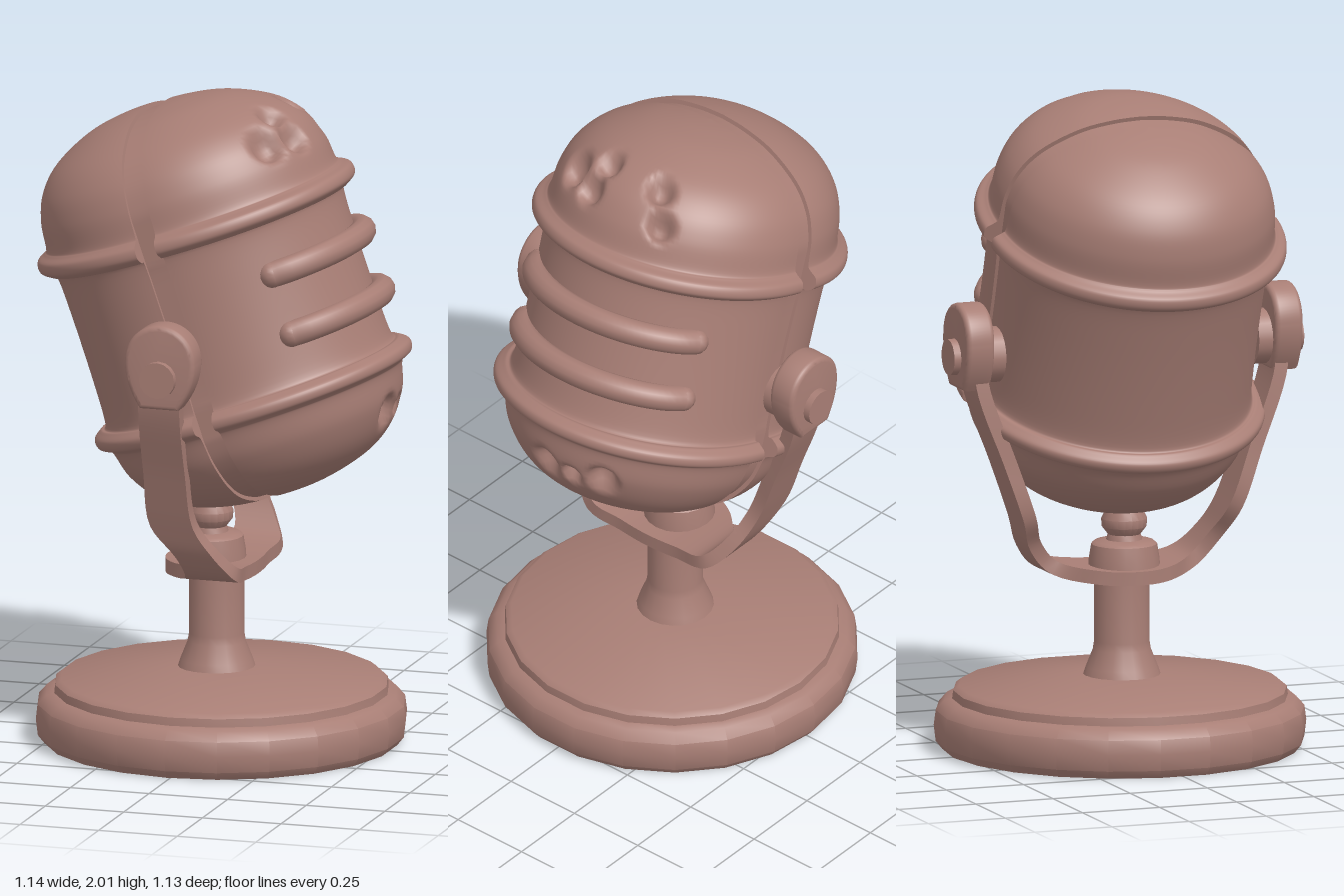
import * as THREE from 'three';
import { toCreasedNormals } from 'three/addons/utils/BufferGeometryUtils.js';

const clay = new THREE.MeshStandardMaterial({ color: 0xa87e75 });
clay.name = 'dusty clay';

const v2 = (pts) => pts.map(([x, y]) => new THREE.Vector2(x, y));

function part(parent, name, geometry, x = 0, y = 0, z = 0) {
  const mesh = new THREE.Mesh(geometry, clay);
  mesh.name = name;
  mesh.position.set(x, y, z);
  parent.add(mesh);
  return mesh;
}

const turned = (pts, sides) => toCreasedNormals(new THREE.LatheGeometry(v2(pts), sides), 0.6);

// Head profile, bottom to top, with the two raised rings
const HEAD = [
  [0, -0.6], [0.14, -0.587], [0.28, -0.548], [0.37, -0.492], [0.435, -0.41], [0.462, -0.33],
  [0.476, -0.312], [0.505, -0.298], [0.508, -0.27], [0.48, -0.25], [0.458, -0.235],
  [0.452, -0.1], [0.452, 0.1], [0.458, 0.235],
  [0.48, 0.248], [0.508, 0.268], [0.505, 0.298], [0.476, 0.314], [0.464, 0.33],
  [0.453, 0.41], [0.418, 0.49], [0.345, 0.56], [0.22, 0.618], [0.1, 0.643], [0, 0.65],
];
const DEPTH = 0.91; // head is a little narrower along z

// Pits pressed into the domes: x, y, z, radius
const PITS = [
  [0.36, 0.52, -0.11, 0.04], [0.36, 0.52, 0.085, 0.04],
  [0.415, 0.44, -0.17, 0.04], [0.41, 0.45, 0.1, 0.045], [0.365, 0.465, 0.2, 0.05],
  [0.4, -0.43, 0.04, 0.045], [0.41, -0.44, -0.055, 0.028], [0.4, -0.43, -0.16, 0.045],
];

function headHalf(profile, side, seam) {
  const g = new THREE.LatheGeometry(profile, 96, side > 0 ? 0 : Math.PI, Math.PI);
  const p = g.attributes.position;
  const v = new THREE.Vector3();
  const pit = new THREE.Vector3();
  for (let i = 0; i < p.count; i++) {
    v.fromBufferAttribute(p, i);
    v.x = v.x * (0.455 - Math.abs(seam)) / 0.455 + seam;
    v.z *= DEPTH;
    let push = 0;
    for (const [x, y, z, r] of PITS) {
      const d = v.distanceTo(pit.set(x, y, z)) / r;
      push = Math.max(push, 0.05 * Math.exp(-(d ** 4)));
    }
    v.multiplyScalar(1 - push / v.length());
    p.setXYZ(i, v.x, v.y, v.z);
  }
  g.computeVertexNormals();
  return g;
}

const outline = (pts) => new THREE.Shape([
  ...pts, ...pts.slice(1, -1).reverse().map((q) => new THREE.Vector2(-q.x, q.y)),
]);

function makeHead() {
  const head = new THREE.Group();
  head.name = 'head';
  head.position.y = 1.35;
  head.rotation.z = 0.33;
  const profile = new THREE.SplineCurve(v2(HEAD)).getPoints(144);
  profile[0].x = profile[144].x = 0;

  // Two shells with flat walls facing the seam
  for (const [name, side, seam] of [['frontShell', 1, 0.02], ['rearShell', -1, -0.045]]) {
    part(head, name, headHalf(profile, side, seam));
    const wall = new THREE.ShapeGeometry(outline(profile));
    wall.rotateY(-side * Math.PI / 2).scale(1, 1, DEPTH);
    part(head, name + 'Wall', wall, seam);
  }

  // Recessed band filling the seam
  const core = profile.map((q) => new THREE.Vector2(Math.min(q.x, 0.458) * 0.975, q.y * 0.98));
  const band = new THREE.ExtrudeGeometry(outline(core), { depth: 0.075, bevelEnabled: false });
  band.rotateY(Math.PI / 2).scale(1, 1, DEPTH);
  part(head, 'seamBand', toCreasedNormals(band, 0.6), -0.05);

  // Grille ribs with rounded ends
  for (const y of [0.092, -0.098]) {
    const pts = [];
    for (let i = -8; i <= 8; i++) {
      const a = (i / 8) * 0.86;
      const ease = 1 - 0.05 * Math.abs(i / 8) ** 6;
      pts.push(new THREE.Vector3(0.475 * Math.cos(a) * ease, y, 0.43 * Math.sin(a) * ease));
    }
    part(head, 'rib', new THREE.TubeGeometry(new THREE.CatmullRomCurve3(pts), 40, 0.04, 12));
    for (const end of [pts[0], pts[16]]) {
      part(head, 'ribEnd', new THREE.SphereGeometry(0.04, 12, 8), end.x, y, end.z);
    }
  }
  return head;
}

// Strap swept from one arm, under the head, to the other arm
function yokeGeometry() {
  const half = [ // z, y, centre x, half width
    [0.495, 1.25, -0.04, 0.065], [0.478, 1.13, -0.05, 0.065], [0.4, 0.92, -0.058, 0.066],
    [0.335, 0.74, -0.055, 0.068], [0.29, 0.64, 0.005, 0.062], [0.225, 0.57, 0.03, 0.08],
    [0.11, 0.548, -0.02, 0.125],
  ];
  const rows = [...half, [0, 0.545, -0.035, 0.145],
    ...half.slice().reverse().map(([z, y, x, w]) => [-z, y, x, w])];
  const path = new THREE.CatmullRomCurve3(rows.map(([z, y, x]) => new THREE.Vector3(x, y, z)));
  const widths = new THREE.SplineCurve(rows.map((r, i) => new THREE.Vector2(i, r[3])));
  const steps = 70, t = 0.021, pos = [], index = [];
  for (let i = 0; i <= steps; i++) {
    const c = path.getPoint(i / steps);
    const w = widths.getPoint(i / steps).y;
    const d = path.getTangent(i / steps);
    const len = Math.hypot(d.y, d.z);
    const ny = (d.z / len) * t, nz = (-d.y / len) * t;
    for (const [sx, sn] of [[1, 1], [1, -1], [-1, -1], [-1, 1]]) {
      pos.push(c.x + sx * w, c.y + sn * ny, c.z + sn * nz);
    }
    if (i === steps) break;
    for (let k = 0; k < 4; k++) {
      const a = i * 4 + k, b = i * 4 + (k + 1) % 4;
      index.push(a, b + 4, b, a, a + 4, b + 4);
    }
  }
  const g = new THREE.BufferGeometry();
  g.setAttribute('position', new THREE.Float32BufferAttribute(pos, 3));
  g.setIndex(index);
  return toCreasedNormals(g, 0.7);
}

// Rounded lug at the top of each arm
function lugGeometry() {
  const s = new THREE.Shape();
  s.moveTo(-0.055, -0.13);
  s.lineTo(0.05, -0.13);
  s.quadraticCurveTo(0.1, -0.06, 0.096, 0.005);
  s.absarc(0, 0.005, 0.096, 0, Math.PI, false);
  s.quadraticCurveTo(-0.1, -0.06, -0.055, -0.13);
  const g = new THREE.ExtrudeGeometry(s, {
    depth: 0.06, bevelThickness: 0.015, bevelSize: 0.015, bevelSegments: 3, curveSegments: 16,
  });
  return toCreasedNormals(g.translate(0, 0, -0.03), 0.6);
}

export function createModel() {
  const model = new THREE.Group();
  model.name = 'microphone';
  model.add(makeHead());

  // Round base and stem
  part(model, 'base', turned([
    [0, 0], [0.54, 0], [0.56, 0.025], [0.566, 0.075], [0.56, 0.12], [0.535, 0.148],
    [0.51, 0.155], [0.507, 0.18], [0.49, 0.193], [0.12, 0.228], [0, 0.23],
  ], 22), -0.01);
  part(model, 'stem', turned([
    [0.12, 0.22], [0.11, 0.25], [0.088, 0.305], [0.084, 0.33], [0.084, 0.54],
  ], 20), -0.025);

  // Nut and ball joint under the head
  part(model, 'ballJoint', turned([
    [0.11, 0.55], [0.107, 0.59], [0.1, 0.632], [0.09, 0.64], [0.055, 0.645], [0.05, 0.662],
    [0.068, 0.685], [0.07, 0.71], [0.058, 0.735], [0.045, 0.78], [0, 0.79],
  ], 20), -0.045);

  // Yoke with a lug and pivot bolt on each side
  part(model, 'yoke', yokeGeometry());
  for (const side of [1, -1]) {
    part(model, 'lug', lugGeometry(), -0.035, 1.288, side * 0.5);
    const bolt = new THREE.CylinderGeometry(0.056, 0.056, 0.19, 16).rotateX(Math.PI / 2);
    part(model, 'pivotBolt', bolt, -0.035, 1.24, side * 0.472);
    const spacer = new THREE.CylinderGeometry(0.085, 0.085, 0.06, 20).rotateX(Math.PI / 2);
    part(model, 'pivotSpacer', spacer, -0.035, 1.24, side * 0.44);
  }
  return model;
}
